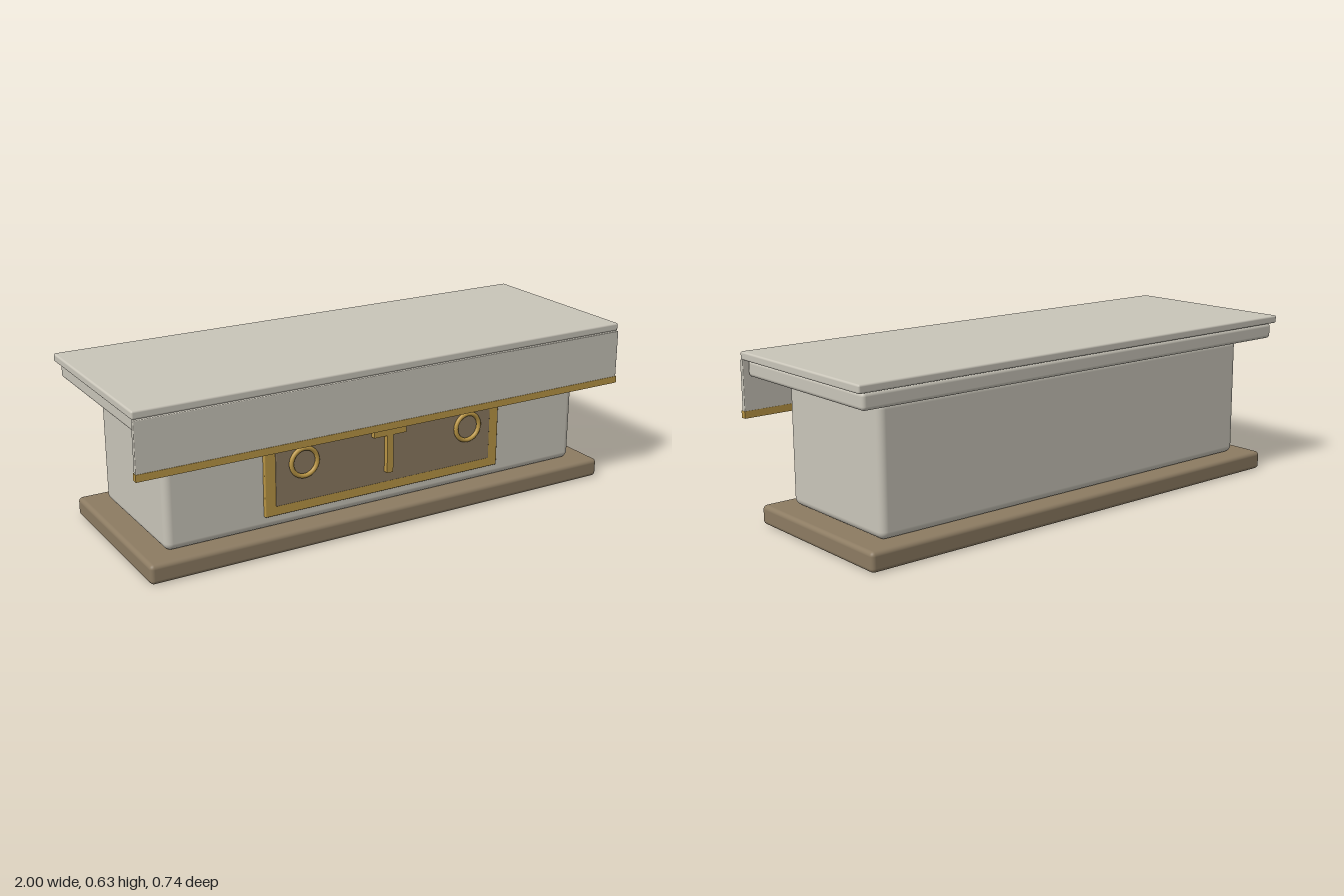
import * as THREE from 'three';
import { RoundedBoxGeometry } from 'three/addons/geometries/RoundedBoxGeometry.js';

const material = (name, color) => {
  const m = new THREE.MeshStandardMaterial({ color });
  m.name = name;
  return m;
};

export function createModel() {
  const group = new THREE.Group();
  const stone = material('pale stone', 0xc9c5b9);
  const brown = material('brown stone', 0x8c7b62);
  const gold = material('gold', 0xba9645);

  const add = (name, geometry, mat, x, y, z) => {
    const mesh = new THREE.Mesh(geometry, mat);
    mesh.name = name;
    mesh.position.set(x, y, z);
    group.add(mesh);
  };
  // Box centred on x, given by half width and y / z ranges; r rounds its edges
  const block = (name, mat, hw, y0, y1, z0, z1, r = 0) => {
    const size = [hw * 2, y1 - y0, z1 - z0];
    const geometry = r ? new RoundedBoxGeometry(...size, 4, r) : new THREE.BoxGeometry(...size);
    add(name, geometry, mat, 0, (y0 + y1) / 2, (z0 + z1) / 2);
  };

  // Plinth, body and stepped table top
  block('plinth', brown, 0.955, 0, 0.072, -0.347, 0.341, 0.016);
  block('body', stone, 0.868, 0.072, 0.54, -0.278, 0.272, 0.028);
  block('lowerSlab', stone, 0.98, 0.54, 0.6, -0.357, 0.349, 0.014);
  block('topSlab', stone, 1, 0.6, 0.63, -0.367, 0.361, 0.007);

  // Hanging front cloth with gold hem
  block('frontCloth', stone, 0.998, 0.4, 0.6, 0.349, 0.3675, 0.003);
  block('clothHem', gold, 1, 0.392, 0.418, 0.348, 0.3695);

  // Framed front panel
  block('panelFrame', gold, 0.497, 0.122, 0.49, 0.262, 0.285, 0.004);
  block('panelField', brown, 0.455, 0.158, 0.455, 0.275, 0.289, 0.003);

  // Cross
  block('crossUpright', gold, 0.013, 0.2, 0.425, 0.287, 0.309);
  block('crossArm', gold, 0.068, 0.344, 0.37, 0.287, 0.3085);

  // Rings either side of the cross
  const ring = new THREE.TorusGeometry(0.0515, 0.0085, 12, 40);
  for (const side of [-1, 1]) add(side > 0 ? 'leftRing' : 'rightRing', ring, gold, side * 0.347, 0.307, 0.297);

  return group;
}
